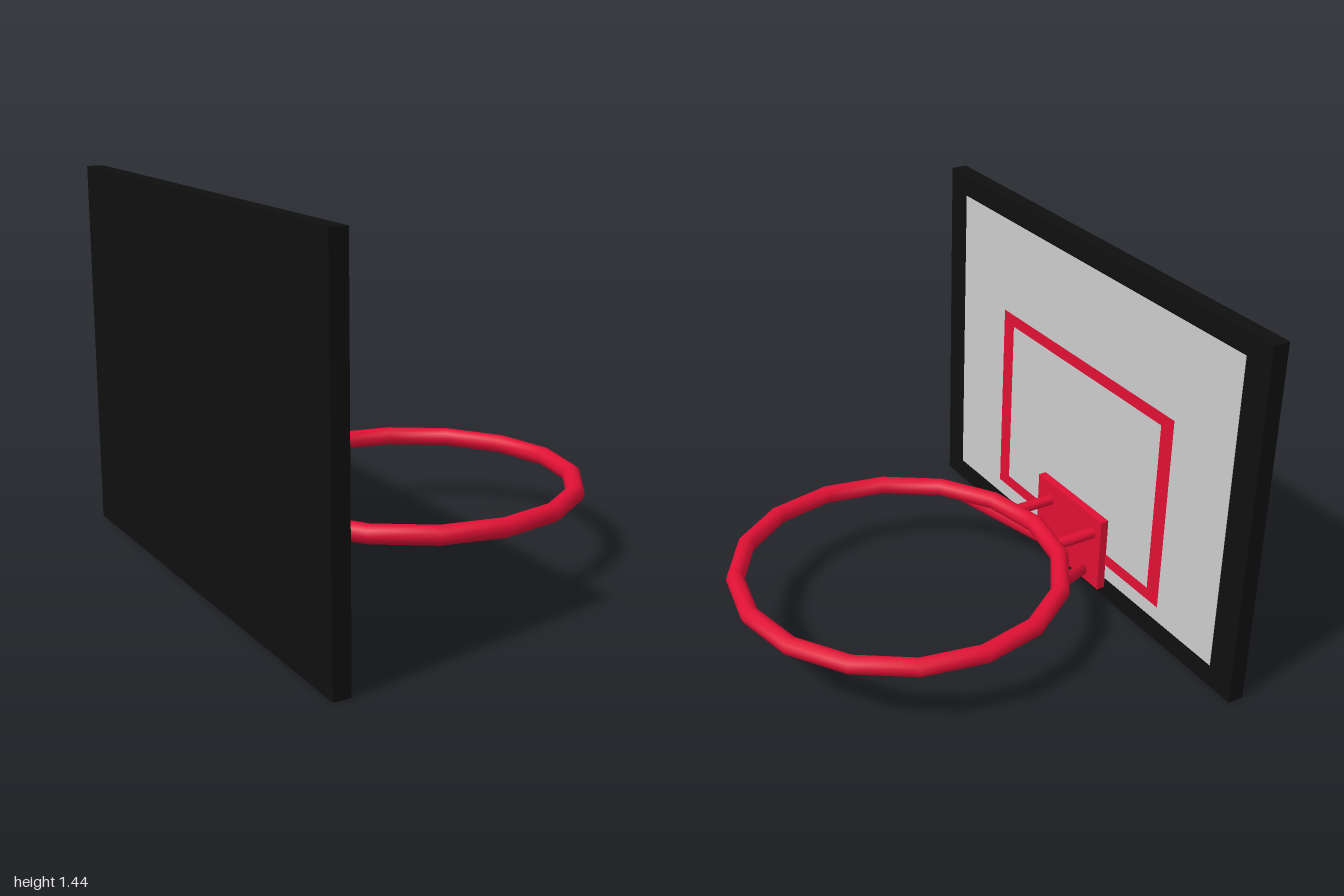
import * as THREE from 'three';

const black = new THREE.MeshStandardMaterial({ color: 0x0f0f0f });
const grey = new THREE.MeshStandardMaterial({ color: 0xcccccc });
const red = new THREE.MeshStandardMaterial({ color: 0xe01034 });

export function createModel() {
  const model = new THREE.Group();
  model.name = 'basketballHoop';

  function add(name, geometry, material) {
    const mesh = new THREE.Mesh(geometry, material);
    mesh.name = name;
    model.add(mesh);
    return mesh;
  }

  // Box given by its ranges in x and y and its half width in z
  function box(name, x0, x1, y0, y1, halfZ, material) {
    const mesh = add(name, new THREE.BoxGeometry(x1 - x0, y1 - y0, halfZ * 2), material);
    mesh.position.set((x0 + x1) / 2, (y0 + y1) / 2, 0);
  }

  // Round bar between two points
  function bar(name, from, to, radius) {
    const a = new THREE.Vector3(...from);
    const b = new THREE.Vector3(...to);
    const dir = b.clone().sub(a);
    const mesh = add(name, new THREE.CylinderGeometry(radius, radius, dir.length(), 12), red);
    mesh.position.copy(a).add(b).multiplyScalar(0.5);
    mesh.quaternion.setFromUnitVectors(new THREE.Vector3(0, 1, 0), dir.normalize());
  }

  // Counter-clockwise rectangle outline
  function rectangle(PathType, halfW, y0, y1) {
    return new PathType([
      [-halfW, y0], [halfW, y0], [halfW, y1], [-halfW, y1],
    ].map(([x, y]) => new THREE.Vector2(x, y)));
  }

  // Backboard with its inset panel
  box('backboard', -0.775, -0.71, 0, 1.44, 1, black);
  box('boardPanel', -0.72, -0.708, 0.09, 1.355, 0.88, grey);

  // Painted target square
  const square = rectangle(THREE.Shape, 0.56, 0.155, 0.965);
  square.holes.push(rectangle(THREE.Path, 0.49, 0.205, 0.915));
  const target = add('targetSquare', new THREE.ShapeGeometry(square), red);
  target.rotation.y = Math.PI / 2;
  target.position.x = -0.705;

  // Mounting plate
  box('mountingPlate', -0.71, -0.675, 0.045, 0.36, 0.22, red);

  // Rim
  const rim = add('rim', new THREE.TorusGeometry(0.625, 0.036, 10, 16), red);
  rim.rotation.x = Math.PI / 2;
  rim.position.set(0.11, 0.285, 0);

  // Straight arms from plate to rim
  bar('rightArm', [-0.69, 0.285, -0.165], [-0.49, 0.285, -0.165], 0.022);
  bar('leftArm', [-0.69, 0.285, 0.13], [-0.5, 0.285, 0.13], 0.022);

  // Slanted braces under the rim
  for (const [name, s] of [['leftBrace', 1], ['rightBrace', -1]]) {
    bar(name, [-0.685, 0.076, s * 0.105], [-0.395, 0.265, s * 0.365], 0.024);
  }

  return model;
}
